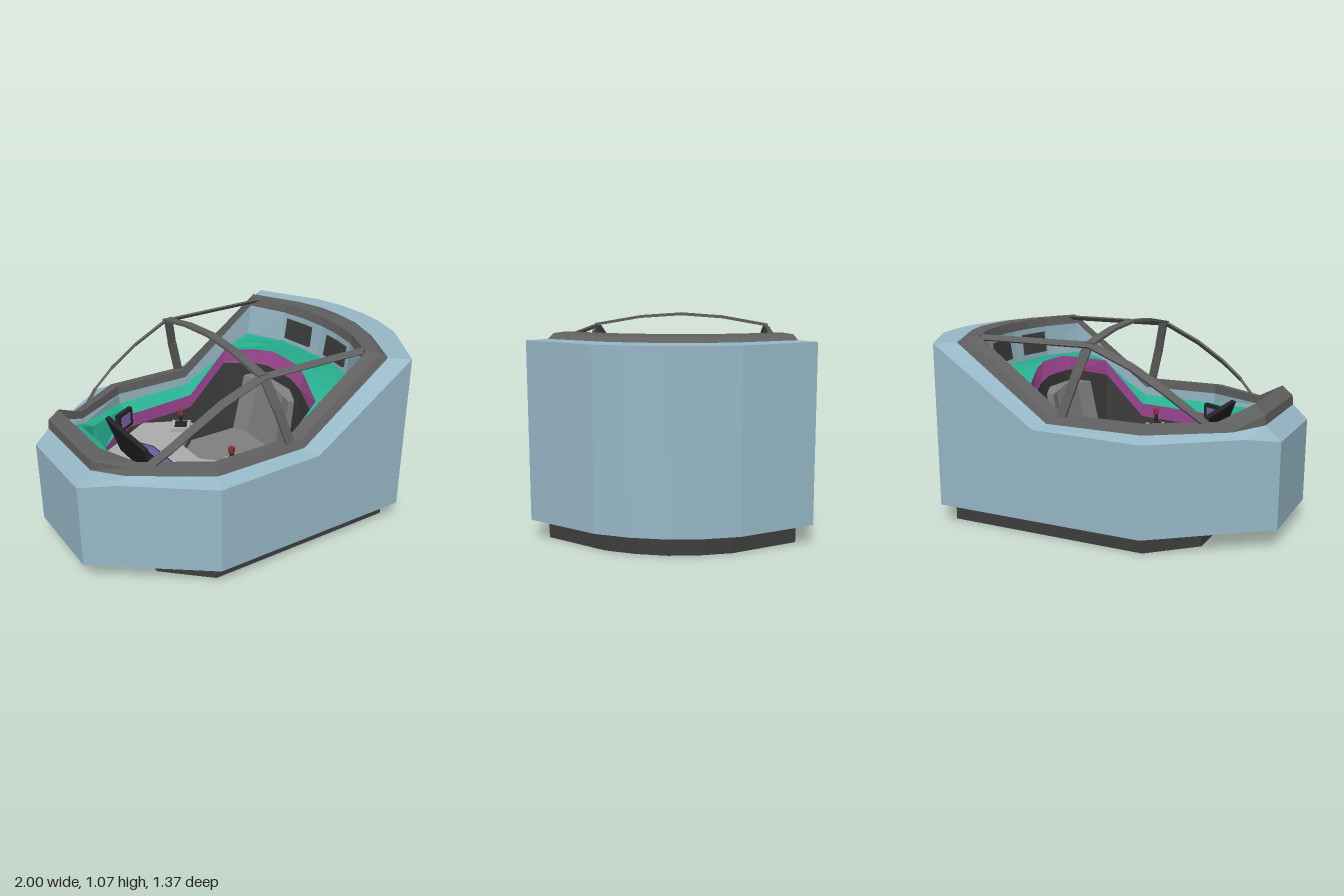
import * as THREE from 'three';

const paint = (color) => new THREE.MeshStandardMaterial({ color, flatShading: true, side: THREE.DoubleSide });
const BLUE = paint(0x96b8c6), RIM = paint(0x606060), GREEN = paint(0x28b090), PURPLE = paint(0x9c458f);
const DARK = paint(0x3d3d3d), BLACK = paint(0x242428), GREY = paint(0xadadad), SEAT = paint(0x808080);
const SCREEN = paint(0x7f6cbc), RED = paint(0x8a3030);

// Half sections [x, z, y], running from the nose to the middle of the tail.
const hullTop = [[-1, .26, .555], [-.85, .37, .575], [-.44, .685, .575], [.15, .685, .585], [.74, .685, .98], [.94, .34, .98], [.985, .17, .98], [1, 0, .98]];
const rimFoot = [[-.92, .26, .63], [-.78, .355, .6], [-.41, .6, .6], [.12, .6, .6], [.65, .6, .98], [.79, .32, .98], [.83, .16, .98], [.84, 0, .98]];
const rimOuter = [[-.915, .26, .68], [-.77, .34, .635], [-.4, .58, .635], [.1, .58, .635], [.61, .58, 1.005], [.76, .31, 1.005], [.81, .155, 1.005], [.82, 0, 1.005]];
const rimInner = [[-.86, .25, .73], [-.7, .33, .64], [-.38, .525, .64], [.06, .525, .64], [.56, .525, 1.01], [.66, .3, 1.01], [.69, .15, 1.01], [.7, 0, 1.01]];
const rimUnder = [[-.85, .245, .67], [-.7, .325, .6], [-.38, .52, .59], [.07, .52, .59], [.55, .52, .96], [.65, .3, .96], [.68, .15, .96], [.69, 0, .96]];
const wallFoot = [[-.81, .24, .62], [-.69, .32, .57], [-.38, .52, .53], [.07, .52, .54], [.53, .52, .78], [.64, .3, .78], [.66, .15, .78], [.665, 0, .78]];
const ledge = [[-.74, .235, .6], [-.65, .3, .55], [-.37, .485, .51], [.06, .485, .52], [.42, .48, .77], [.53, .26, .79], [.555, .13, .8], [.56, 0, .8]];
const tubEdge = [[-.7, .2, .3], [-.6, .28, .4], [-.35, .445, .48], [.06, .445, .5], [.31, .44, .75], [.4, .22, .8], [.425, .11, .82], [.43, 0, .82]];
const trimFoot = [[-.7, .2, .27], [-.6, .28, .35], [-.35, .445, .4], [.06, .445, .42], [.3, .44, .66], [.375, .22, .72], [.39, .11, .74], [.395, 0, .74]];
const atHeight = (half, y) => half.map(([x, z]) => [x, z, y]);

// Mirror a half section into a closed loop.
function fullLoop(half) {
  const other = half.filter((p) => p[1] > 0).map(([x, z, y]) => [x, -z, y]).reverse();
  return [...half, ...other].map(([x, z, y]) => [x, y, z]);
}

// Faceted skin across a series of loops, with optional lids on both ends.
function skin(name, mat, halves, lidFirst = false, lidLast = false) {
  const loops = halves.map(fullLoop), pos = [];
  const tri = (a, b, c) => pos.push(...a, ...b, ...c);
  for (let k = 0; k + 1 < loops.length; k++) {
    const A = loops[k], B = loops[k + 1], n = A.length;
    for (let i = 0; i < n; i++) {
      const j = (i + 1) % n;
      tri(A[i], A[j], B[j]);
      tri(A[i], B[j], B[i]);
    }
  }
  const lid = (L, up) => {
    for (let i = 1; i + 1 < L.length; i++) up ? tri(L[0], L[i], L[i + 1]) : tri(L[0], L[i + 1], L[i]);
  };
  if (lidFirst) lid(loops[0], false);
  if (lidLast) lid(loops[loops.length - 1], true);
  const geo = new THREE.BufferGeometry();
  geo.setAttribute('position', new THREE.Float32BufferAttribute(pos, 3));
  geo.computeVertexNormals();
  const mesh = new THREE.Mesh(geo, mat);
  mesh.name = name;
  return mesh;
}

function box(name, mat, size, at, rot = [0, 0, 0]) {
  const mesh = new THREE.Mesh(new THREE.BoxGeometry(...size), mat);
  mesh.name = name;
  mesh.position.set(...at);
  mesh.rotation.set(...rot);
  return mesh;
}

// Chain of flat bars along a list of points, rolled about their length.
function bars(name, points, w, h, roll = 0) {
  const group = new THREE.Group();
  group.name = name;
  for (let i = 0; i + 1 < points.length; i++) {
    const a = new THREE.Vector3(...points[i]), b = new THREE.Vector3(...points[i + 1]);
    const bar = box(name + 'Bar', RIM, [w, h, a.distanceTo(b) + .01], a.clone().lerp(b, .5).toArray());
    bar.lookAt(b);
    bar.rotateZ(roll);
    group.add(bar);
  }
  return group;
}

// Framed display whose face points along local +x.
function display(name, height, width, at, rot) {
  const group = new THREE.Group();
  group.name = name;
  group.add(box('displayFrame', BLACK, [.025, height, width], [0, 0, 0]));
  group.add(box('displayGlass', SCREEN, [.006, height - .04, width - .05], [.012, 0, 0]));
  group.position.set(...at);
  group.rotation.set(...rot);
  return group;
}

function prism(name, mat, outline, bottom, top) {
  const shape = new THREE.Shape(outline.map(([x, z]) => new THREE.Vector2(x, -z)));
  const geo = new THREE.ExtrudeGeometry(shape, { depth: top - bottom, bevelEnabled: false });
  geo.rotateX(-Math.PI / 2);
  geo.translate(0, bottom, 0);
  const mesh = new THREE.Mesh(geo, mat);
  mesh.name = name;
  return mesh;
}

export function createModel() {
  const model = new THREE.Group();
  model.name = 'cockpitPod';

  // Plinth, hull and padded rim
  const base = [[-.65, .39], [-.42, .605], [.7, .605], [.88, .3], [.92, .15], [.935, 0]];
  model.add(skin('base', DARK, [atHeight(base, 0), atHeight(base, .1)], true, true));
  model.add(skin('hull', BLUE, [atHeight(hullTop, .1), hullTop, rimFoot], true));
  model.add(skin('rim', RIM, [rimFoot, rimOuter, rimInner, rimUnder]));

  // Interior lining, from the rim down to the floor
  model.add(skin('innerWall', BLUE, [rimUnder, wallFoot]));
  model.add(skin('tubLining', GREEN, [wallFoot, ledge, tubEdge]));
  model.add(skin('trim', PURPLE, [tubEdge, trimFoot]));
  model.add(skin('floor', DARK, [trimFoot, atHeight(trimFoot, .16)], false, true));
  model.add(box('noseStep', GREEN, [.1, .14, .32], [-.65, .25, 0]));

  // Console with displays
  const consoleOutline = [[-.6, -.25], [-.27, -.45], [-.03, -.33], [-.02, -.28], [-.21, -.1],
    [-.21, .1], [-.02, .28], [-.03, .33], [-.27, .45], [-.6, .25]];
  model.add(prism('console', GREY, consoleOutline, .35, .4));
  model.add(box('consolePedestal', DARK, [.28, .2, .36], [-.42, .26, 0]));
  model.add(display('mainDisplay', .26, .44, [-.555, .505, 0], [0, 0, .35]));
  model.add(display('lowerDisplay', .14, .32, [-.42, .425, 0], [0, 0, 1.05]));

  // Bucket seat with a wrapped, reclined back
  const seat = new THREE.Group();
  seat.name = 'seat';
  const cushion = [[-.2, -.1], [-.06, -.235], [.28, -.235], [.28, .235], [-.06, .235], [-.2, .1]];
  seat.add(prism('seatCushion', SEAT, cushion, .17, .32));
  const backFoot = [[.27, 0, .3], [.27, .14, .3], [.23, .235, .3], [.29, .235, .3], [.33, .14, .3], [.33, 0, .3]];
  const backTop = [[.34, 0, .68], [.34, .12, .68], [.3, .22, .66], [.34, .22, .66], [.38, .12, .68], [.38, 0, .68]];
  seat.add(skin('seatBack', SEAT, [backFoot, backTop], true, true));
  model.add(seat);

  for (const s of [-1, 1]) {
    // Control stick
    const stick = new THREE.Group();
    stick.name = 'controlStick';
    stick.add(box('stickPlate', GREY, [.11, .03, .11], [0, .015, 0]));
    stick.add(box('stickWell', BLACK, [.07, .006, .07], [0, .032, 0]));
    stick.add(box('stickShaft', BLACK, [.018, .08, .018], [0, .07, 0]));
    stick.add(box('stickGrip', RED, [.028, .03, .028], [0, .11, 0]));
    stick.position.set(-.11, .395, s * .27);
    stick.rotation.y = s * .6;
    model.add(stick);

    // Side display facing the seat, and rear wall recess
    model.add(display('sideDisplay', .11, .14, [-.43, .5, s * .365], [0, s * 1.04, 0]));
    model.add(box('rearRecess', DARK, [.02, .12, .2], [.66, .87, s * .17], [0, -s * .14, -.15]));

    // Roll cage: front bow, roof rail and side post
    model.add(bars('frontBow', [[-.67, .62, s * .37], [-.57, .71, s * .42], [-.45, .8, s * .445],
      [-.29, .9, s * .46], [-.08, .995, s * .48]], .042, .012, s * .75));
    model.add(bars('roofRail', [[-.08, .997, s * .48], [.58, .997, s * .485]], .036, .01, s * .75));
    model.add(bars('sidePost', [[-.06, 1.0, s * .475], [-.01, .83, s * .53], [.05, .63, s * .57]], .05, .014, s * .9));
  }
  // Cross hoop over the top
  model.add(bars('crossHoop', [[-.07, 1.005, -.475], [-.07, 1.048, -.23], [-.07, 1.064, 0],
    [-.07, 1.048, .23], [-.07, 1.005, .475]], .052, .014));
  return model;
}
